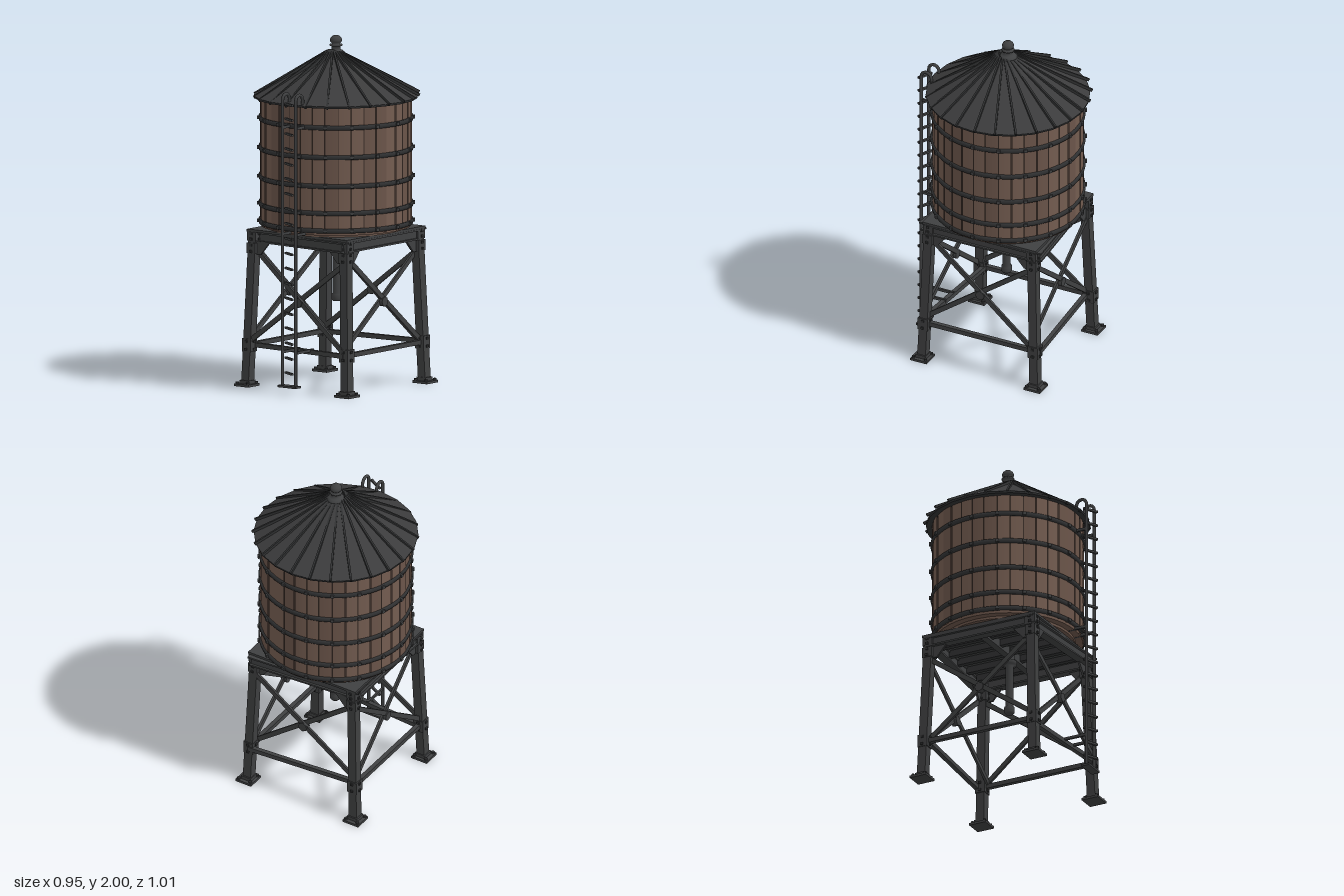
import * as THREE from 'three';

const mat = (name, color, side = THREE.FrontSide) => {
  const m = new THREE.MeshStandardMaterial({ color, side });
  m.name = name;
  return m;
};

export function createModel() {
  const iron = mat('dark iron', 0x3f4041);
  const roofIron = mat('roof iron', 0x3b3b3c);
  const ribIron = mat('rib iron', 0x303132);
  const woodA = mat('brown wood', 0x735c50, THREE.DoubleSide);
  const woodB = mat('darker brown wood', 0x6a5449, THREE.DoubleSide);
  const seam = mat('dark seam', 0x3a2e28);

  const root = new THREE.Group();
  root.name = 'waterTower';
  const body = new THREE.Group();
  body.name = 'tower';
  body.position.z = -0.025;
  root.add(body);

  const add = (name, geo, m, x = 0, y = 0, z = 0) => {
    const mesh = new THREE.Mesh(geo, m);
    mesh.name = name;
    mesh.position.set(x, y, z);
    body.add(mesh);
    return mesh;
  };
  const box = (name, w, h, d, m, x, y, z) => add(name, new THREE.BoxGeometry(w, h, d), m, x, y, z);
  const cyl = (name, r0, r1, h, n, m, x, y, z) => add(name, new THREE.CylinderGeometry(r0, r1, h, n), m, x, y, z);
  // Straight bar between two points
  const bar = (name, a, b, w, h, m) => {
    const p = new THREE.Vector3(...a), q = new THREE.Vector3(...b);
    const mesh = box(name, w, h, p.distanceTo(q), m, 0, 0, 0);
    mesh.position.copy(p).lerp(q, 0.5);
    mesh.lookAt(q);
    return mesh;
  };

  // Tank: dark core seen in the gaps, covered with curved staves
  const R = 0.428, staves = 36, step = Math.PI * 2 / staves;
  cyl('tankCore', R - 0.006, R - 0.006, 0.725, 72, seam, 0, 1.2875, 0);
  cyl('tankFloor', R - 0.003, R - 0.003, 0.012, 48, woodB, 0, 0.919, 0);
  for (let i = 0; i < staves; i++) {
    const r = R + (i * 7 % 5) * 0.0008;
    add('stave', new THREE.CylinderGeometry(r, r, 0.73, 2, 1, true, i * step, step * 0.93),
      i * 5 % 7 < 3 ? woodB : woodA, 0, 1.285, 0);
  }

  // Hoops with bolts
  for (const y of [0.94, 1.04, 1.195, 1.36, 1.53]) {
    const hoop = [[R, -0.013], [R + 0.009, -0.013], [R + 0.012, 0], [R + 0.009, 0.013], [R, 0.013]];
    add('hoop', new THREE.LatheGeometry(hoop.map(p => new THREE.Vector2(...p)), 72), ribIron, 0, y, 0);
    for (let i = 0; i < 18; i++) {
      const a = (i + 0.5) * Math.PI / 9;
      const bolt = box('hoopBolt', 0.02, 0.018, 0.014, iron,
        Math.sin(a) * (R + 0.012), y, Math.cos(a) * (R + 0.012));
      bolt.rotation.y = a;
    }
  }

  // Roof with raised ribs and a finial
  const roof = new THREE.CylinderGeometry(0.035, 0.467, 0.25, 24).toNonIndexed();
  roof.computeVertexNormals();
  add('roof', roof, roofIron, 0, 1.78, 0);
  cyl('roofRim', 0.467, 0.464, 0.012, 24, ribIron, 0, 1.651, 0);
  for (let i = 0; i < 24; i++) {
    const a = i * Math.PI / 12, s = Math.sin(a), c = Math.cos(a);
    bar('roofRib', [s * 0.473, 1.656, c * 0.473], [s * 0.04, 1.906, c * 0.04], 0.011, 0.016, ribIron);
  }
  const finial = [[0.052, 1.885], [0.052, 1.9], [0.038, 1.912], [0.026, 1.918], [0.026, 1.935], [0.036, 1.938],
    [0.036, 1.947], [0.022, 1.95], [0.032, 1.96], [0.035, 1.972], [0.029, 1.985], [0.016, 1.996], [0, 2]];
  add('finial', new THREE.LatheGeometry(finial.map(p => new THREE.Vector2(...p)), 24), iron);

  // Platform: timber base, deck and joists
  cyl('timberBase', 0.385, 0.385, 0.02, 32, woodB, 0, 0.908, 0);
  box('deck', 0.72, 0.014, 0.72, iron, 0, 0.891, 0);
  for (let i = -2; i <= 2; i++) box('joist', 0.03, 0.04, 0.64, ribIron, i * 0.12, 0.866, 0);
  box('crossBeam', 0.64, 0.05, 0.04, iron, 0, 0.858, 0);

  // Legs with foot plates, joint collars and bolts
  const legX = y => 0.357 - 0.03 * y / 0.88;
  for (const sx of [-1, 1]) for (const sz of [-1, 1]) {
    const at = y => [sx * legX(y), y, sz * legX(y)];
    const L = 0.026, H = 0.884;
    const leg = new THREE.BoxGeometry(L * 2, H, L * 2);
    const p = leg.attributes.position;
    for (let i = 0; i < p.count; i++) {
      const off = legX(p.getY(i) + H / 2);
      p.setX(i, p.getX(i) + sx * off);
      p.setZ(i, p.getZ(i) + sz * off);
    }
    leg.computeVertexNormals();
    add('leg', leg, iron, 0, H / 2, 0);
    box('footPlate', 0.104, 0.014, 0.104, iron, sx * 0.36, 0.007, sz * 0.36);
    box('footBlock', 0.066, 0.02, 0.066, iron, sx * 0.357, 0.024, sz * 0.357);
    for (const bx of [-1, 1]) for (const bz of [-1, 1])
      cyl('footBolt', 0.01, 0.01, 0.012, 6, ribIron, sx * 0.36 + bx * 0.038, 0.019, sz * 0.36 + bz * 0.038);
    for (const [y, h] of [[0.235, 0.075], [0.79, 0.06], [0.858, 0.05]]) {
      box('legCollar', 0.062, h, 0.062, iron, ...at(y));
      for (const dy of [-0.3, 0.3]) {
        const o = at(y + dy * h);
        box('collarBolt', 0.076, 0.014, 0.016, ribIron, ...o);
        box('collarBolt', 0.016, 0.014, 0.076, ribIron, ...o);
      }
    }
  }

  // Four identical sides: top beam, strut, cross braces and corner gussets
  const gusset = new THREE.Shape([[0, 0], [0.1, 0], [0.035, -0.075], [0, -0.075]].map(p => new THREE.Vector2(...p)));
  const gussetGeo = new THREE.ExtrudeGeometry(gusset, { depth: 0.012, bevelEnabled: false });
  const mirrored = gussetGeo.clone().rotateY(Math.PI).translate(0, 0, 0.012);
  for (let k = 0; k < 4; k++) {
    const a = k * Math.PI / 2, s = Math.sin(a), c = Math.cos(a);
    const P = (x, y, z) => [x * c + z * s, y, -x * s + z * c];
    const e = legX(0.235), t = legX(0.78);
    bar('topBeam', P(-0.335, 0.853, 0.332), P(0.335, 0.853, 0.332), 0.03, 0.055, iron);
    bar('beamFlange', P(-0.35, 0.879, 0.335), P(0.35, 0.879, 0.335), 0.055, 0.01, iron);
    bar('beamFlange', P(-0.34, 0.828, 0.335), P(0.34, 0.828, 0.335), 0.05, 0.01, iron);
    bar('strut', P(-e, 0.235, e), P(e, 0.235, e), 0.026, 0.026, iron);
    bar('brace', P(-t, 0.775, t), P(e, 0.25, e), 0.014, 0.028, iron);
    bar('brace', P(t, 0.775, t - 0.014), P(-e, 0.25, e - 0.014), 0.014, 0.028, iron);
    const hub = cyl('braceHub', 0.028, 0.028, 0.036, 8, iron, ...P(0, 0.505, 0.335));
    hub.rotation.set(Math.PI / 2, 0, -a);
    for (const [geo, x] of [[gussetGeo, -0.31], [mirrored, 0.31]])
      add('gusset', geo, iron, ...P(x, 0.83, 0.33)).rotation.y = a;
  }

  // Outlet pipe below the tank
  const pipe = [[0, 0.48], [0.022, 0.48], [0.03, 0.49], [0.03, 0.52], [0.023, 0.525], [0.023, 0.775],
    [0.042, 0.78], [0.042, 0.805], [0.03, 0.81], [0.03, 0.885]];
  add('outletPipe', new THREE.LatheGeometry(pipe.map(p => new THREE.Vector2(...p)), 20), iron, 0.008, 0, 0.005);

  // Ladder with hooked rails, rungs and stand-offs
  const lz = 0.5, lx = [0.006, 0.1];
  for (const x of lx) {
    const path = new THREE.CurvePath();
    const V = (y, z) => new THREE.Vector3(x, y, z);
    path.add(new THREE.LineCurve3(V(0.05, lz), V(1.68, lz)));
    path.add(new THREE.CubicBezierCurve3(V(1.68, lz), V(1.73, lz), V(1.73, 0.435), V(1.68, 0.435)));
    path.add(new THREE.LineCurve3(V(1.68, 0.435), V(1.655, 0.435)));
    add('ladderRail', new THREE.TubeGeometry(path, 160, 0.0095, 8), iron);
    for (const [y, z] of [[1.53, 0.425], [0.92, 0.35], [0.245, 0.34]])
      bar('standOff', [x, y, lz], [x, y, z], 0.012, 0.016, iron);
  }
  for (let i = 0; i < 19; i++) bar('rung', [lx[0], 0.125 + i * 0.0855, lz], [lx[1], 0.125 + i * 0.0855, lz], 0.014, 0.012, iron);
  box('ladderFoot', 0.13, 0.012, 0.05, iron, 0.053, 0.05, lz);

  return root;
}
